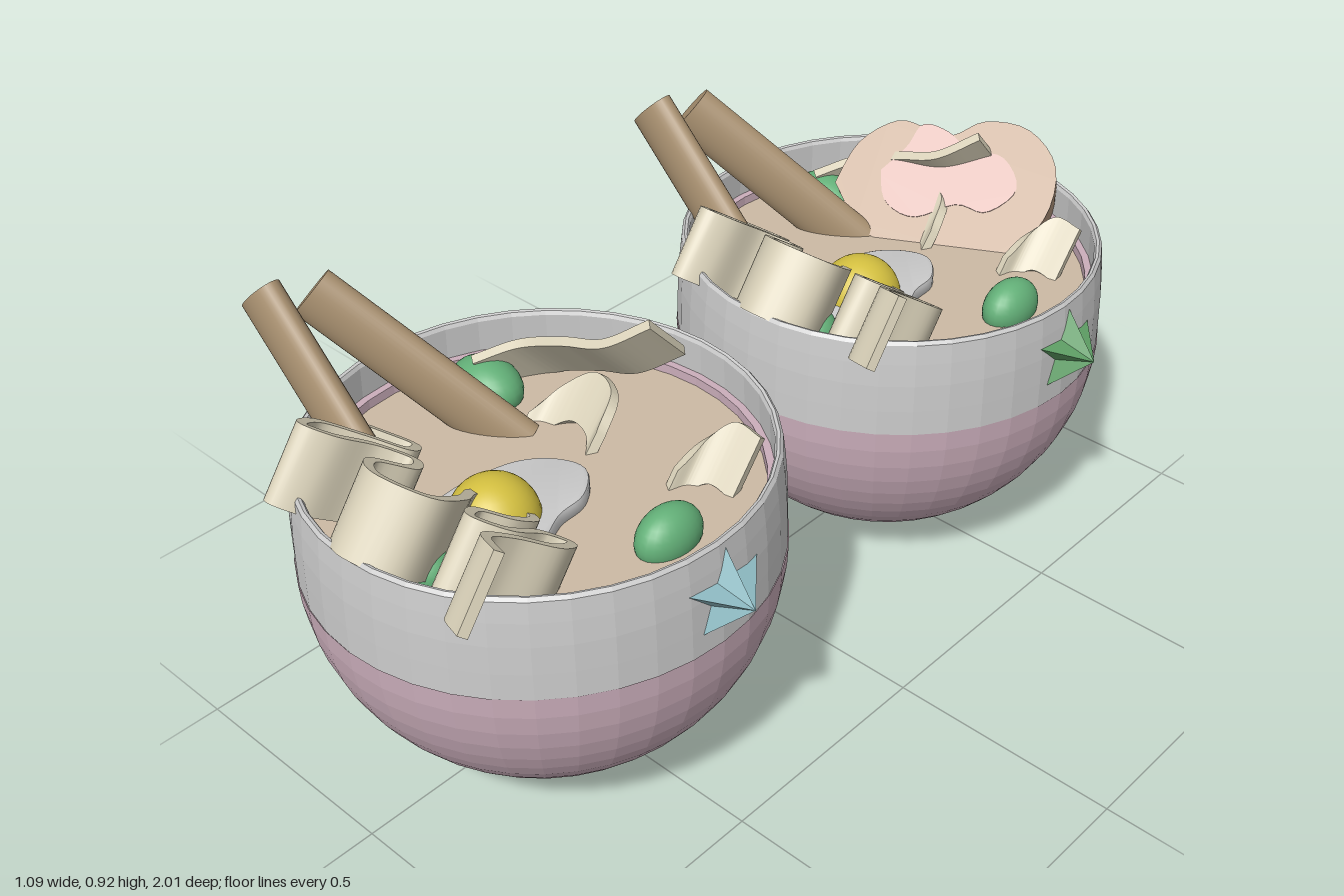
import * as THREE from 'three';
import { toCreasedNormals } from 'three/addons/utils/BufferGeometryUtils.js';

const mat = (color, flat = false, side = THREE.FrontSide) =>
  new THREE.MeshStandardMaterial({ color, flatShading: flat, side });

const M = {
  grey: mat(0xcccccc, true, THREE.DoubleSide),
  pink: mat(0xcbaebb, true, THREE.DoubleSide),
  broth: mat(0xccbaa4),
  white: mat(0xcccccc),
  yolk: mat(0xd4c040),
  herb: mat(0x63b078),
  noodle: mat(0xd8d0b8),
  stick: mat(0xa89070),
  meat: mat(0xb89a80),
  meatPink: mat(0xd0a8a0),
};

const V = (x, y, z) => new THREE.Vector3(x, y, z);

function add(parent, name, geometry, material, x = 0, y = 0, z = 0) {
  const mesh = new THREE.Mesh(geometry, material);
  mesh.name = name;
  mesh.position.set(x, y, z);
  parent.add(mesh);
  return mesh;
}

const lathe = (pts) => new THREE.LatheGeometry(pts.map(([r, y]) => new THREE.Vector2(r, y)), 40);

// Flat ribbon: a curve swept sideways by a fixed width vector
function ribbon(points, width, thick = 0.02, steps = 60) {
  const curve = new THREE.CatmullRomCurve3(points);
  const pos = [], idx = [];
  for (let i = 0; i <= steps; i++) {
    const p = curve.getPoint(i / steps);
    const n = curve.getTangent(i / steps).cross(width).normalize().multiplyScalar(thick / 2);
    const a = p.clone().add(n), d = p.clone().sub(n);
    for (const c of [a, a.clone().add(width), d.clone().add(width), d]) pos.push(c.x, c.y, c.z);
    if (i === steps) continue;
    for (let j = 0; j < 4; j++) {
      const k = (j + 1) % 4, s = i * 4, e = s + 4;
      idx.push(s + j, e + j, e + k, s + j, e + k, s + k);
    }
  }
  const e = steps * 4;
  idx.push(0, 1, 2, 0, 2, 3, e, e + 2, e + 1, e, e + 3, e + 2);
  const g = new THREE.BufferGeometry();
  g.setAttribute('position', new THREE.Float32BufferAttribute(pos, 3));
  g.setIndex(idx);
  return toCreasedNormals(g, 0.7);
}

// Smooth closed outline extruded to a slab
function blob(points, depth, bevel = 0) {
  const curve = new THREE.SplineCurve([...points, points[0]].map(([x, y]) => new THREE.Vector2(x, y)));
  const shape = new THREE.Shape(curve.getPoints(48).slice(0, -1));
  const g = new THREE.ExtrudeGeometry(shape, {
    depth, bevelEnabled: bevel > 0, bevelSize: bevel, bevelThickness: bevel, bevelSegments: 2,
  });
  return toCreasedNormals(g, 0.7);
}

// Faceted five-point star with a raised middle on both sides, facing +x
function star(outer, inner, height) {
  const pos = [];
  const at = (i) => {
    const r = i % 2 ? inner : outer, a = i * Math.PI / 5;
    return [0, r * Math.cos(a), -r * Math.sin(a)];
  };
  for (let i = 0; i < 10; i++) {
    pos.push(height, 0, 0, ...at(i + 1), ...at(i));
    pos.push(-height, 0, 0, ...at(i), ...at(i + 1));
  }
  const g = new THREE.BufferGeometry();
  g.setAttribute('position', new THREE.Float32BufferAttribute(pos, 3));
  g.computeVertexNormals();
  return g;
}

function makeBowl(starColor) {
  const bowl = new THREE.Group();

  // Lower hemisphere, with a narrow inner ledge
  const cup = [];
  for (let i = 0; i <= 16; i++) {
    const a = (i / 16) * Math.PI / 2;
    cup.push([0.47 * Math.sin(a), 0.475 - 0.47 * Math.cos(a)]);
  }
  add(bowl, 'lowerBowl', lathe(cup), M.pink);
  add(bowl, 'innerLining', lathe([[0.44, 0.48], [0.445, 0.61], [0.427, 0.61], [0.425, 0.48]]), M.pink);

  // Upper band with a rounded rim
  add(bowl, 'upperBand', lathe([[0.468, 0.472], [0.467, 0.53], [0.465, 0.59], [0.461, 0.64], [0.456, 0.683],
    [0.45, 0.69], [0.444, 0.688], [0.44, 0.68], [0.443, 0.6], [0.443, 0.48]]), M.grey);

  // Broth
  add(bowl, 'broth', new THREE.CylinderGeometry(0.43, 0.43, 0.03, 48), M.broth, 0, 0.575, 0);

  // Star on the right-hand wall
  const badge = add(bowl, 'star', star(0.1, 0.044, 0.085), mat(starColor, true), 0.45, 0.578, -0.008);
  badge.rotation.x = -0.1;

  // Chopsticks, oval in section
  for (const [x, y, z, yaw, tilt] of [[-0.515, 0.885, 0.211, 0, Math.PI / 4], [-0.485, 0.86, 0.121, 0.56, 0.9]]) {
    const g = new THREE.CylinderGeometry(0.062, 0.062, 0.5, 32);
    g.scale(1, 1, 0.56);
    g.translate(0, -0.25, 0);
    add(bowl, 'chopstick', g, M.stick, x, y, z).rotation.set(0, yaw, tilt, 'YXZ');
  }

  // Egg: flat white and round yolk
  const white = blob([[-0.06, -0.24], [0.02, -0.28], [0.12, -0.26], [0.155, -0.16], [0.12, -0.07],
    [0.11, 0], [0.06, 0.055], [0, 0.04], [-0.05, -0.02], [-0.07, -0.13]], 0.02, 0.008);
  white.rotateX(-Math.PI / 2);
  add(bowl, 'eggWhite', white, M.white, 0, 0.59, 0);
  add(bowl, 'eggYolk', new THREE.SphereGeometry(0.088, 32, 20), M.yolk, 0.036, 0.605, 0.146);

  // Peas
  for (const [x, z, rx, rz] of [[-0.295, -0.13, 0.085, 0.065], [0.302, -0.034, 0.05, 0.075], [0.02, 0.32, 0.085, 0.06]]) {
    add(bowl, 'pea', new THREE.SphereGeometry(1, 24, 16), M.herb, x, 0.605, z).scale.set(rx, 0.06, rz);
  }

  // Long wavy noodle: lies on a plane rising toward the front
  const wave = [[-0.27, 0.18], [-0.2, 0.13], [-0.165, 0.17], [-0.21, 0.23], [-0.25, 0.3], [-0.22, 0.352],
    [-0.18, 0.32], [-0.16, 0.24], [-0.11, 0.2], [-0.06, 0.24], [-0.07, 0.32], [0, 0.362], [0.085, 0.32],
    [0.07, 0.24], [0.03, 0.18], [0.07, 0.125], [0.13, 0.13], [0.145, 0.19], [0.12, 0.25], [0.155, 0.29],
    [0.2, 0.25], [0.2, 0.17], [0.235, 0.14], [0.26, 0.19], [0.235, 0.27], [0.24, 0.33], [0.31, 0.362]];
  add(bowl, 'wavyNoodle', ribbon(wave.map(([x, z]) => V(x, 0.81 + 0.7 * (z - 0.362), z)),
    V(0, -0.125, 0.092), 0.02, 180), M.noodle);

  // Shorter curled noodles
  add(bowl, 'longNoodle', ribbon([V(-0.31, 0.67, -0.11), V(-0.25, 0.7, -0.18), V(-0.15, 0.735, -0.21),
    V(-0.06, 0.76, -0.23), V(0.02, 0.815, -0.28)], V(0, -0.105, -0.095)), M.noodle);
  add(bowl, 'archedNoodle', ribbon([V(-0.17, 0.6, -0.13), V(-0.14, 0.64, -0.19), V(-0.08, 0.68, -0.235),
    V(-0.02, 0.67, -0.22), V(0.01, 0.62, -0.15)], V(0, -0.08, 0.07)), M.noodle);
  add(bowl, 'curledNoodle', ribbon([V(0.19, 0.62, -0.17), V(0.205, 0.66, -0.24), V(0.24, 0.69, -0.285),
    V(0.3, 0.68, -0.29)], V(0, -0.1, 0.08)), M.noodle);
  return bowl;
}

// Thick meat slice leaning back, with a pale core reaching the top edge
function makeMeat() {
  const slice = new THREE.Group();
  slice.name = 'meatSlice';
  add(slice, 'meat', blob([[-0.25, -0.02], [-0.21, 0.08], [-0.13, 0.14], [-0.06, 0.13], [0, 0.12],
    [0.07, 0.16], [0.17, 0.15], [0.24, 0.07], [0.23, -0.05], [0.15, -0.14], [0, -0.16], [-0.16, -0.13]],
  0.13), M.meat, 0, 0, -0.13);
  add(slice, 'meatCore', blob([[-0.15, 0.02], [-0.1, 0.08], [-0.07, 0.137], [-0.01, 0.126], [0.04, 0.09],
    [0.12, 0.08], [0.16, 0.01], [0.1, -0.05], [0.03, -0.04], [-0.06, -0.08], [-0.13, -0.05]],
  0.136), M.meatPink, 0, 0, -0.133);
  slice.rotation.set(-0.75, 0.5, 0, 'YXZ');
  slice.position.set(-0.03, 0.69, -0.235);
  return slice;
}

export function createModel() {
  const model = new THREE.Group();
  const front = makeBowl(0x8fbcc4);
  front.name = 'frontBowl';
  front.position.set(0.01, 0, 0.526);
  const back = makeBowl(0x5fa066);
  back.name = 'backBowl';
  back.position.set(0.01, 0, -0.522);
  back.add(makeMeat());
  model.add(front, back);
  return model;
}
